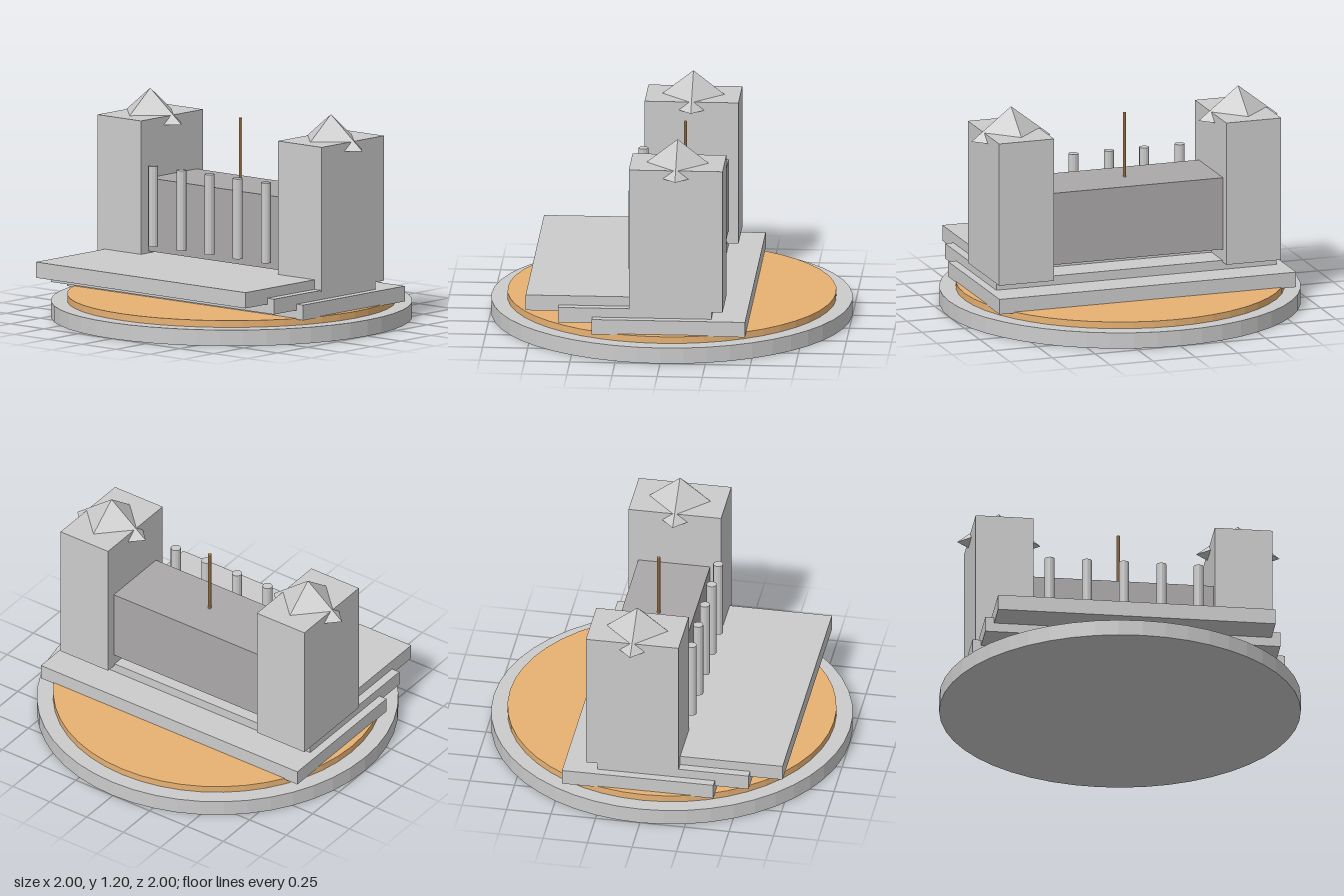
import * as THREE from 'three';

const stone = new THREE.MeshStandardMaterial({ color: 0xcccccc, flatShading: true });
const darkStone = new THREE.MeshStandardMaterial({ color: 0xaca8aa, flatShading: true });
const sand = new THREE.MeshStandardMaterial({ color: 0xe8b273, flatShading: true });

export function createModel() {
  const model = new THREE.Group();
  model.name = 'gatehouse';

  function add(name, geometry, material, x, y, z) {
    const mesh = new THREE.Mesh(geometry, material);
    mesh.name = name;
    mesh.position.set(x, y, z);
    model.add(mesh);
  }

  // Box given by its limits on each axis
  function box(name, material, [x0, x1], [y0, y1], [z0, z1]) {
    add(name, new THREE.BoxGeometry(x1 - x0, y1 - y0, z1 - z0), material,
      (x0 + x1) / 2, (y0 + y1) / 2, (z0 + z1) / 2);
  }

  // Upright cylinder between two heights
  function post(name, material, radius, sides, y0, y1, x, z) {
    add(name, new THREE.CylinderGeometry(radius, radius, y1 - y0, sides), material,
      x, (y0 + y1) / 2, z);
  }

  // Round base with a raised ground disc
  post('base', stone, 1, 48, 0, 0.09, 0, 0);
  post('ground', sand, 0.91, 48, 0.085, 0.128, 0, 0);

  // Three overlapping slabs, each shifted forward and narrower
  box('lowerStep', stone, [-0.87, 0.87], [0.122, 0.208], [-0.462, 0.388]);
  box('middleStep', stone, [-0.822, 0.822], [0.174, 0.26], [-0.272, 0.578]);
  box('upperStep', stone, [-0.773, 0.773], [0.226, 0.314], [-0.09, 0.76]);

  // Wall between the towers
  box('wall', darkStone, [-0.505, 0.505], [0.325, 0.735], [-0.28, 0.123]);

  // Towers with four-sided roofs turned corner-on
  for (const [side, s] of [['left', 1], ['right', -1]]) {
    const cx = s * 0.666;
    box(side + 'Tower', stone, [cx - 0.161, cx + 0.161], [0.25, 1.062], [-0.335, 0.185]);
    add(side + 'Roof', new THREE.ConeGeometry(0.232, 0.182, 4), stone, cx, 1.106, -0.075);
  }

  // Row of columns in front of the wall
  for (let i = -2; i <= 2; i++) {
    post('column', stone, 0.028, 12, 0.37, 0.82, i * 0.2075, 0.185);
  }

  // Flagpole on the wall
  post('flagpole', sand, 0.009, 8, 0.7, 1.103, 0, -0.075);

  return model;
}
